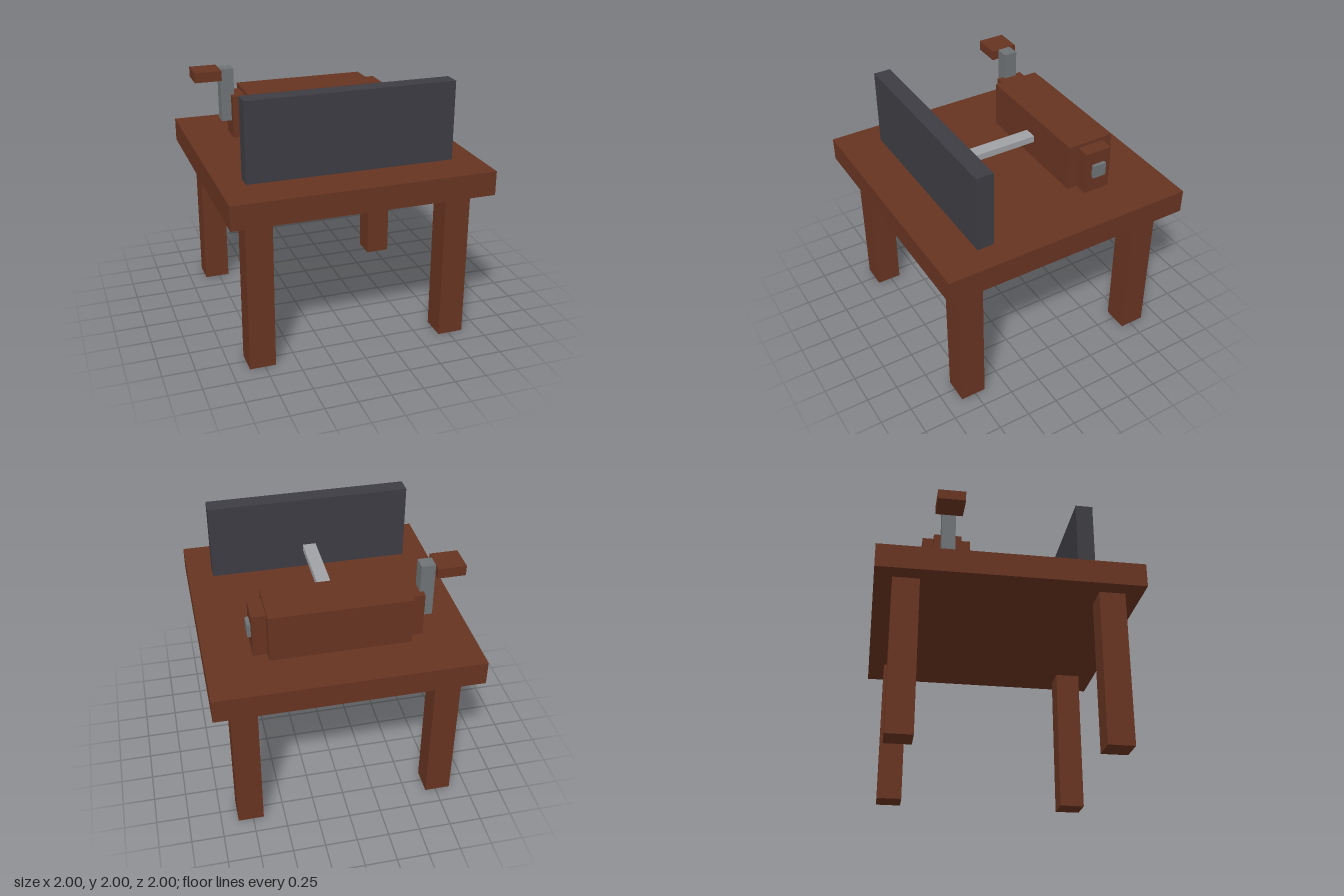
import * as THREE from 'three';

const wood = new THREE.MeshStandardMaterial({ name: 'brown wood', color: 0x673421 });
const slate = new THREE.MeshStandardMaterial({ name: 'dark slate', color: 0x3d3c43 });
const steel = new THREE.MeshStandardMaterial({ name: 'grey steel', color: 0x6e7375 });
const paleSteel = new THREE.MeshStandardMaterial({ name: 'pale steel', color: 0xa0a1a5 });

export function createModel() {
  const model = new THREE.Group();
  model.name = 'crankTable';

  // Box given by its extents along each axis
  function box(name, material, [x0, x1], [y0, y1], [z0, z1]) {
    const mesh = new THREE.Mesh(new THREE.BoxGeometry(x1 - x0, y1 - y0, z1 - z0), material);
    mesh.position.set((x0 + x1) / 2, (y0 + y1) / 2, (z0 + z1) / 2);
    mesh.name = name;
    model.add(mesh);
  }

  // Table
  box('tabletop', wood, [-1, 1], [1.2, 1.387], [-1, 1]);
  const near = [0.667, 0.867], far = [-0.867, -0.667];
  for (const x of [far, near]) {
    for (const z of [far, near]) box('leg', wood, x, [0, 1.2], z);
  }

  // Upright panel and the bar joining it to the housing
  box('panel', slate, [-0.8, 0.8], [1.387, 2], [0.533, 0.667]);
  box('connectingBar', paleSteel, [-0.053, 0.053], [1.537, 1.59], [-0.267, 0.533]);

  // Housing with a stepped cheek at each end
  box('housing', wood, [-0.533, 0.533], [1.387, 1.76], [-0.64, -0.267]);
  box('leftCheek', wood, [0.533, 0.64], [1.387, 1.733], [-0.56, -0.347]);
  box('rightCheek', wood, [-0.64, -0.533], [1.387, 1.733], [-0.56, -0.347]);

  // Axle, crank arm and grip
  box('axleEnd', steel, [0.64, 0.667], [1.52, 1.627], [-0.507, -0.4]);
  box('crankArm', steel, [-0.72, -0.613], [1.52, 1.947], [-0.507, -0.4]);
  box('crankGrip', wood, [-0.933, -0.72], [1.867, 1.947], [-0.56, -0.347]);

  return model;
}
